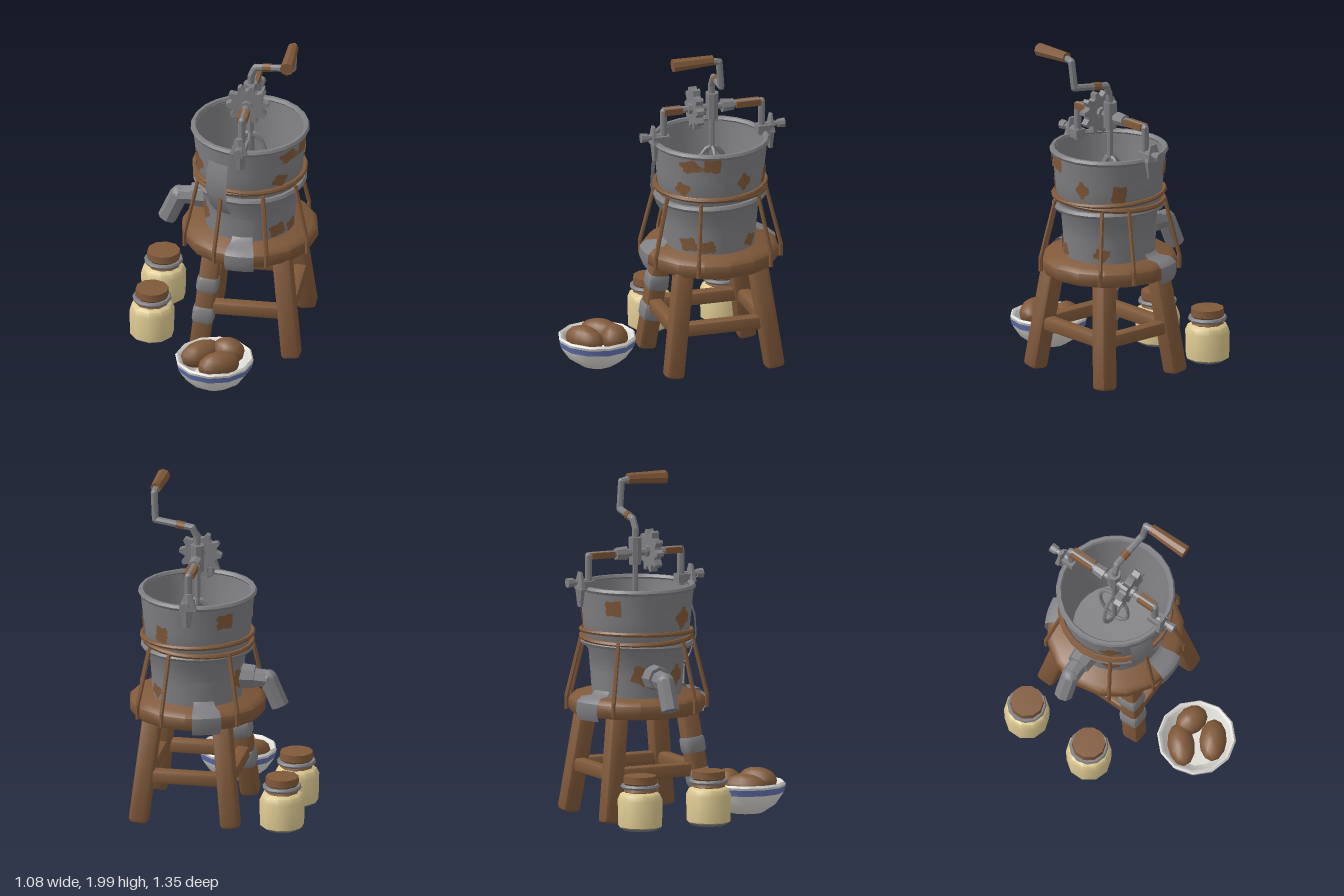
import * as THREE from 'three';
import { toCreasedNormals } from 'three/addons/utils/BufferGeometryUtils.js';
import { RoundedBoxGeometry } from 'three/addons/geometries/RoundedBoxGeometry.js';

const material = (name, color, side = THREE.FrontSide) => {
  const m = new THREE.MeshStandardMaterial({ color, side });
  m.name = name;
  return m;
};
const V = (x, y, z) => new THREE.Vector3(x, y, z);
const CX = 0.14, CZ = -0.23; // axis of stool and bucket

export function createModel() {
  const root = new THREE.Group();
  root.name = 'handCrankedMixer';
  const metal = material('grey metal', 0x808084, THREE.DoubleSide);
  const wood = material('brown wood', 0x80593a, THREE.DoubleSide);
  const cream = material('cream jar', 0xdac68f);
  const white = material('white enamel', 0xdddbd5);
  const blue = material('blue stripe', 0x6474b4);

  const add = (name, geo, mat, pos = V(0, 0, 0), parent = root) => {
    const m = new THREE.Mesh(toCreasedNormals(geo, 0.75), mat);
    m.name = name;
    m.position.copy(pos);
    parent.add(m);
    return m;
  };
  const lathe = (name, pts, sides, mat, pos, start = 0, length = Math.PI * 2) =>
    add(name, new THREE.LatheGeometry(pts.map(p => new THREE.Vector2(...p)), sides, start, length), mat, pos);
  const UP = V(0, 1, 0);
  const align = (mesh, a, b) => {
    mesh.position.copy(a).add(b).multiplyScalar(0.5);
    mesh.quaternion.setFromUnitVectors(UP, b.clone().sub(a).normalize());
    return mesh;
  };
  const beam = (name, a, b, r0, r1, mat, sides = 8) =>
    align(add(name, new THREE.CylinderGeometry(r1, r0, a.distanceTo(b), sides), mat), a, b);
  const post = (name, a, b, w, mat) =>
    align(add(name, new RoundedBoxGeometry(w, a.distanceTo(b), w, 1, w * 0.22), mat), a, b);
  const tube = (name, pts, r, mat, sides = 8) => {
    const path = new THREE.CurvePath();
    for (let i = 1; i < pts.length; i++) path.add(new THREE.LineCurve3(pts[i - 1], pts[i]));
    pts.slice(1).forEach((p, i) => beam(name, pts[i], p, r, r, mat, sides));
    pts.slice(1, -1).forEach(p => add(name + 'Joint', new THREE.SphereGeometry(r, sides, 6), mat, p));
  };
  const axis = V(CX, 0, CZ);

  // Stool: seat, four splayed legs and stretchers
  lathe('seat', [[0, 0.64], [0.33, 0.625], [0.385, 0.635], [0.405, 0.67], [0.4, 0.715], [0.37, 0.742], [0, 0.742]], 16, wood, axis);
  const corners = [[-1, 1], [1, 1], [1, -1], [-1, -1]];
  const legPoint = ([sx, sz], t) => V(CX + 0.02 + sx * (0.275 - 0.07 * t), 0.02 + 0.64 * t, CZ + 0.01 + sz * (0.31 - 0.085 * t));
  corners.forEach((c, i) => {
    post('leg', legPoint(c, 0), legPoint(c, 1), 0.112, wood);
    post('stretcher', legPoint(c, 0.44), legPoint(corners[(i + 1) % 4], 0.44), 0.08, wood);
  });
  for (const [t0, t1] of [[0.28, 0.46], [0.58, 0.75]])
    post('legBinding', legPoint(corners[0], t0), legPoint(corners[0], t1), 0.128, metal);

  // Bucket with stepped wall, rolled rim and open inside
  const wall = y => (y < 1.03 ? 0.262 + (y - 0.73) * 0.07 : 0.3 + (y - 1.03) * 0.1);
  lathe('bucket', [[0, 0.735], [0.262, 0.735], [0.272, 0.87], [0.283, 1.0], [0.303, 1.03], [0.318, 1.2], [0.335, 1.365],
    [0.318, 1.365], [0.3, 1.2], [0.265, 1.0], [0.25, 0.79], [0, 0.78]], 24, metal, axis);
  const hoop = (name, r, tubeR, y, mat, tiltX = 0, tiltZ = 0) => {
    const h = add(name, new THREE.TorusGeometry(r, tubeR, 6, 24), mat, V(CX, y, CZ));
    h.rotation.set(Math.PI / 2 + tiltX, tiltZ, 0);
  };
  hoop('rim', 0.332, 0.018, 1.375, metal);
  hoop('lowerHoop', 0.315, 0.02, 1.045, metal, 0.03);
  hoop('ropeHoop', 0.322, 0.016, 1.085, wood, -0.03, 0.05);
  hoop('ropeHoop', 0.326, 0.014, 1.115, wood, 0.03, -0.03);

  // Guy ropes from the hoops to the seat edge
  const around = (deg, r, y) => {
    const a = THREE.MathUtils.degToRad(deg);
    return V(CX + Math.cos(a) * r, y, CZ + Math.sin(a) * r);
  };
  for (const deg of [68, 27, 112, -42, -70, -135, 150])
    tube('guyRope', [around(deg, 0.325, 1.08), around(deg, 0.412, 0.73), around(deg, 0.412, 0.65)], 0.013, wood, 6);

  // Rust patches that follow the bucket wall
  const patch = (deg, y, w, h) => {
    const geo = new THREE.CircleGeometry(1, 14);
    const p = geo.attributes.position;
    for (let i = 0; i < p.count; i++) {
      const k = 1 + 0.22 * Math.sin(i * 1.9 + deg);
      const yy = y + p.getY(i) * h * k;
      const r = wall(yy) + 0.008;
      const a = THREE.MathUtils.degToRad(deg) - (p.getX(i) * w * k) / r;
      p.setXYZ(i, CX + Math.cos(a) * r, yy, CZ + Math.sin(a) * r);
    }
    geo.computeVertexNormals();
    add('rustPatch', geo, wood);
  };
  [[38, 1.31, 0.07, 0.04], [15, 1.32, 0.06, 0.045], [48, 1.16, 0.05, 0.04], [150, 1.21, 0.06, 0.06], [150, 0.87, 0.05, 0.06],
    [45, 0.8, 0.06, 0.045], [20, 0.79, 0.05, 0.04], [-40, 0.8, 0.05, 0.04], [-60, 1.18, 0.05, 0.06], [-130, 1.28, 0.06, 0.05],
    [-160, 0.88, 0.06, 0.06], [-20, 1.2, 0.04, 0.05]].forEach(a => patch(...a));

  // Metal straps: one on the wall, two folded over the seat
  lathe('wallStrap', [[0.28, 0.92], [0.315, 0.97], [0.352, 1.08], [0.345, 1.2], [0.325, 1.27]], 4, metal, axis, -0.68, 0.42);
  for (const start of [-0.22, 3.25])
    lathe('seatStrap', [[0.29, 0.9], [0.285, 0.78], [0.31, 0.755], [0.38, 0.752], [0.415, 0.72], [0.418, 0.66], [0.4, 0.615]], 4, metal, axis, start, 0.42);

  // Spout
  tube('spout', [V(-0.1, 0.87, -0.25), V(-0.285, 0.86, -0.25), V(-0.355, 0.7, -0.25)], 0.056, metal);
  beam('spoutCollar', V(-0.09, 0.87, -0.25), V(-0.21, 0.87, -0.25), 0.08, 0.07, metal);

  // Bridge over the bucket, with rusty ends
  const BX = 0.135, BY = 1.57;
  tube('bridge', [V(BX, 1.36, 0.055), V(BX, BY, 0.055), V(BX, BY, -0.545), V(BX, 1.36, -0.545)], 0.022, metal);
  for (const [z, l] of [[0.0, 0.11], [-0.46, 0.15]])
    add('rustySleeve', new THREE.BoxGeometry(0.06, 0.036, l), wood, V(BX, BY, z));

  // Clamps with wing screws at both ends of the bridge
  for (const s of [1, -1]) {
    const z = d => -0.245 + s * d;
    beam('clampScrew', V(BX, 1.42, z(0.28)), V(BX, 1.42, z(0.43)), 0.018, 0.018, metal);
    beam('clampKnob', V(BX, 1.42, z(0.4)), V(BX, 1.42, z(0.44)), 0.026, 0.03, metal);
    const jaw = add('clampJaw', new THREE.CylinderGeometry(0.045, 0.025, 0.11, 6), metal, V(BX, 1.33, z(0.355)));
    jaw.scale.z = 0.6;
    const wing = add('clampWing', new THREE.CylinderGeometry(0.025, 0.06, 0.1, 6), metal, V(BX - 0.01, 1.43, z(0.36)));
    wing.scale.z = 0.45;
    add('clampBridge', new THREE.BoxGeometry(0.07, 0.05, 0.1), metal, V(BX, 1.4, z(0.32)));
  }

  // Toothed wheel and its pinion
  const gear = (name, r, teeth, depth, pos) => {
    const shape = new THREE.Shape();
    for (let i = 0; i < teeth * 4; i++) {
      const a = (i / (teeth * 4)) * Math.PI * 2, rr = i % 4 < 2 ? r : r * 0.76;
      shape[i ? 'lineTo' : 'moveTo'](Math.cos(a) * rr, Math.sin(a) * rr);
    }
    const geo = new THREE.ExtrudeGeometry(shape, { depth, bevelEnabled: false });
    geo.translate(0, 0, -depth / 2);
    add(name, geo, metal, pos);
  };
  gear('gearWheel', 0.126, 10, 0.045, V(0.14, 1.575, -0.135));
  beam('gearHub', V(0.14, 1.575, -0.09), V(0.14, 1.575, -0.18), 0.035, 0.035, metal);
  beam('pinion', V(BX, BY, -0.3), V(BX, BY, -0.37), 0.042, 0.036, metal);
  beam('shaftHub', V(0.14, 1.5, -0.24), V(0.14, 1.66, -0.24), 0.038, 0.04, metal);

  // Shaft and beaters inside the bucket
  beam('shaft', V(0.14, 0.95, -0.24), V(0.14, 1.56, -0.24), 0.017, 0.017, metal);
  for (const turn of [0, Math.PI / 2]) {
    const b = add('beater', new THREE.TorusGeometry(0.1, 0.011, 6, 16), metal, V(0.14, 1.13, -0.24));
    b.scale.y = 1.9;
    b.rotation.y = turn;
  }

  // Crank and handle
  tube('crank', [V(0.14, 1.6, -0.24), V(0.145, 1.71, -0.235), V(0.17, 1.765, -0.24), V(0.395, 1.79, -0.215),
    V(0.405, 1.95, -0.2), V(0.405, 1.965, -0.13)], 0.021, metal);
  beam('crankRust', V(0.215, 1.77, -0.235), V(0.265, 1.776, -0.23), 0.025, 0.025, wood);
  beam('handle', V(0.405, 1.965, -0.16), V(0.405, 1.958, 0.085), 0.032, 0.041, wood);

  // Jars with wired necks and corks
  for (const z of [-0.03, -0.475]) {
    const p = V(-0.41, 0, z);
    lathe('jar', [[0.1, 0.03], [0.13, 0.045], [0.134, 0.2], [0.118, 0.235], [0.085, 0.25], [0.085, 0.29], [0, 0.29]], 10, cream, p);
    lathe('jarBase', [[0, 0.022], [0.1, 0.022], [0.125, 0.04]], 10, metal, p);
    lathe('cork', [[0.08, 0.24], [0.098, 0.25], [0.085, 0.285], [0.1, 0.3], [0.097, 0.342], [0, 0.345]], 10, wood, p);
    const wire = add('jarWire', new THREE.TorusGeometry(0.102, 0.014, 6, 12), metal, V(-0.41, 0.28, z));
    wire.rotation.x = Math.PI / 2;
  }

  // Bowl with painted band
  const bowl = V(0.03, 0, 0.43);
  lathe('bowl', [[0, 0.004], [0.1, 0.004], [0.17, 0.05], [0.215, 0.115], [0.232, 0.175], [0.222, 0.187],
    [0.205, 0.175], [0.185, 0.11], [0.13, 0.05], [0, 0.04]], 12, white, bowl);
  lathe('bowlBand', [[0.2215, 0.125], [0.232, 0.162]], 12, blue, bowl);

  // Potatoes: x, y, z, long half-length, turn
  for (const [x, y, z, l, turn] of [[-0.055, 0.165, 0.38, 0.135, 0.75], [0.1, 0.18, 0.345, 0.1, -0.3], [0.07, 0.18, 0.52, 0.13, 0.55]]) {
    const m = add('potato', new THREE.SphereGeometry(1, 12, 8), wood, V(x, y, z));
    m.scale.set(l, 0.078, 0.08);
    m.rotation.y = turn;
  }
  return root;
}
